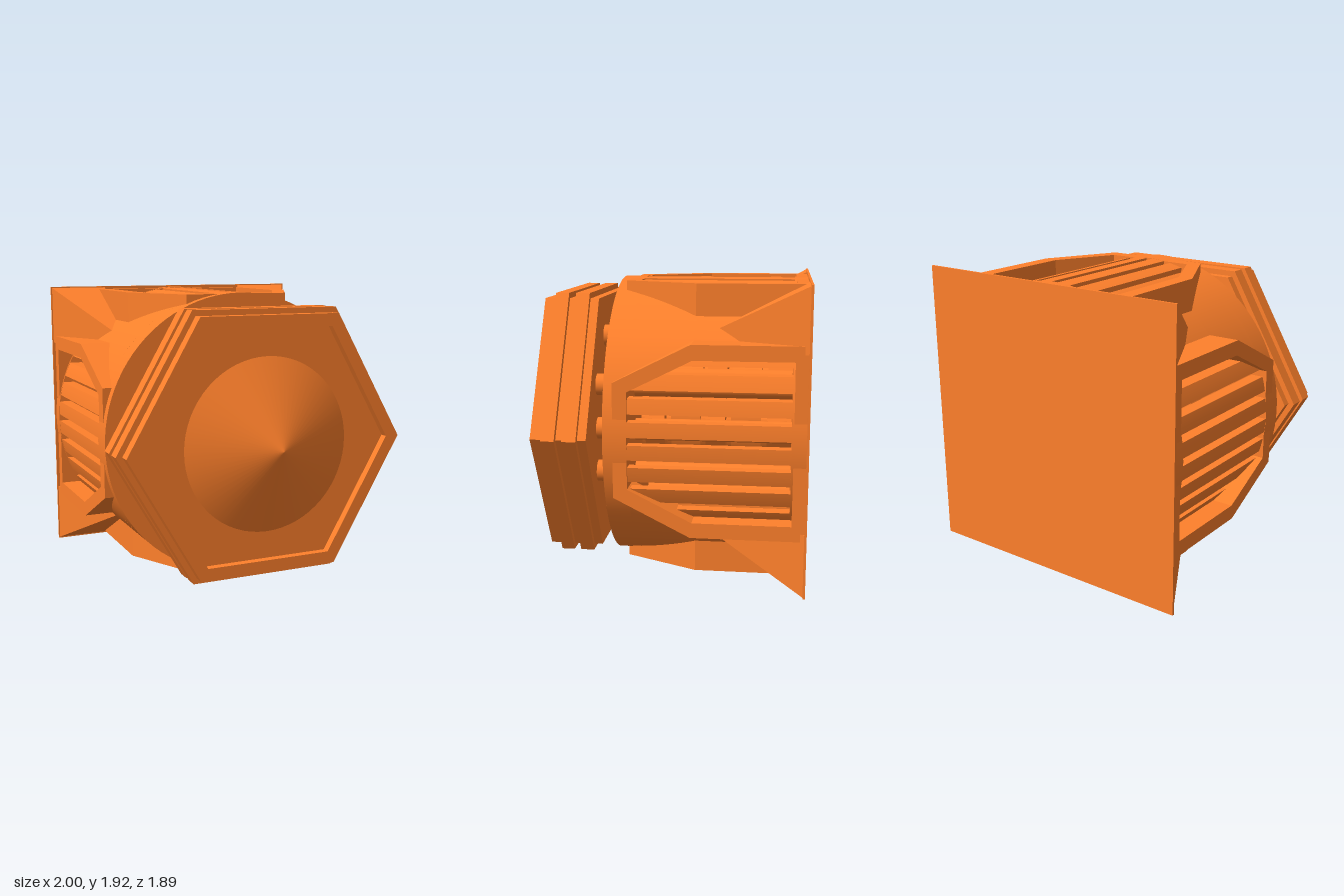
import * as THREE from 'three';
import { ConvexGeometry } from 'three/addons/geometries/ConvexGeometry.js';

const C = 0.963; // height of the main axis
const S = 0.96; // half side of the square back plate
const R = 0.95; // drum radius
const material = new THREE.MeshStandardMaterial({ color: 0xff802b, side: THREE.DoubleSide });

function add(parent, name, geometry) {
  const mesh = new THREE.Mesh(geometry, material);
  mesh.name = name;
  parent.add(mesh);
  return mesh;
}

// Cylinder or cone along z, from z0 to z1
function rod(r0, r1, z0, z1, sides) {
  return new THREE.CylinderGeometry(r1, r0, z1 - z0, sides)
    .rotateX(Math.PI / 2).translate(0, 0, (z0 + z1) / 2);
}

const points = (list) => list.map(([x, y]) => new THREE.Vector2(x, y));

function hexPoints(r) {
  return Array.from({ length: 6 }, (_, i) =>
    new THREE.Vector2(r * Math.cos(i * Math.PI / 3), r * Math.sin(i * Math.PI / 3)));
}

// Hexagonal prism along z, with an optional hexagonal hole
function hexPrism(r, z0, z1, hole) {
  const shape = new THREE.Shape(hexPoints(r));
  if (hole) shape.holes.push(new THREE.Path(hexPoints(hole)));
  return new THREE.ExtrudeGeometry(shape, { depth: z1 - z0, bevelEnabled: false }).translate(0, 0, z0);
}

// Drum wall between two vents; h is the half width of the vent opening at each end
function drumPatch(z0, h0, z1, h1) {
  const g = new THREE.PlaneGeometry(1, 1, 20, 8);
  const p = g.attributes.position;
  for (let i = 0; i < p.count; i++) {
    const u = p.getX(i) + 0.5, v = p.getY(i) + 0.5;
    const open = Math.asin((h0 + (h1 - h0) * v) / R);
    const a = open + (Math.PI / 2 - 2 * open) * u;
    p.setXYZ(i, R * Math.cos(a), R * Math.sin(a), z0 + (z1 - z0) * v);
  }
  g.computeVertexNormals();
  return g;
}

// Frame around a vent, facing +y; the drum bulges slightly through its middle
function frameGeometry() {
  const shape = new THREE.Shape(points([[-0.6, -0.935], [0.6, -0.935], [0.6, -0.23],
    [0.36, 0.248], [-0.36, 0.248], [-0.6, -0.23]]));
  shape.holes.push(new THREE.Path(points([[-0.505, -0.853], [-0.505, -0.24], [-0.305, 0.16],
    [0.305, 0.16], [0.505, -0.24], [0.505, -0.853]])));
  return new THREE.ExtrudeGeometry(shape, { depth: 0.22, bevelEnabled: false })
    .rotateX(Math.PI / 2).translate(0, 0.94, 0);
}

// Curved slat between x0 and x1, facing +y
function slatGeometry(x0, x1) {
  const outer = 0.948, inner = 0.87, shape = new THREE.Shape();
  shape.absarc(0, 0, outer, Math.acos(x1 / outer), Math.acos(x0 / outer), false);
  shape.absarc(0, 0, inner, Math.acos(x0 / inner), Math.acos(x1 / inner), true);
  return new THREE.ExtrudeGeometry(shape, { depth: 1.01, bevelEnabled: false, curveSegments: 5 })
    .translate(0, 0, -0.845);
}

export function createModel() {
  const model = new THREE.Group();
  model.name = 'thruster';
  const body = new THREE.Group();
  body.name = 'body';
  body.position.y = C;
  model.add(body);

  // Square back plate
  add(body, 'backPlate', new THREE.BoxGeometry(2 * S, 2 * S, 0.015).translate(0, 0, -0.9375));

  // Solid ends of the drum
  add(body, 'drumFront', rod(R, R, 0.16, 0.31, 96));
  add(body, 'drumBack', rod(R, R, -0.94, -0.84, 96));

  // Four sides: drum wall, corner wedge and slatted vent
  const frame = frameGeometry();
  const slot = 0.143, half = 0.024;
  const slats = [];
  for (let k = -4; k < 4; k++) {
    const x0 = k === -4 ? -0.555 : k * slot + half;
    const x1 = k === 3 ? 0.555 : (k + 1) * slot - half;
    slats.push(slatGeometry(x0, x1));
  }
  const wedge = new ConvexGeometry([
    [S, S, -0.945], [0.55, S, -0.945], [S, 0.55, -0.945], [0.55, 0.55, -0.945],
    [0.66, 0.66, -0.36], [0.55, 0.66, -0.36], [0.66, 0.55, -0.36],
  ].map((p) => new THREE.Vector3(...p)));
  const wallBack = drumPatch(-0.84, 0.55, -0.235, 0.55);
  const wallFront = drumPatch(-0.235, 0.55, 0.16, 0.355);

  for (let i = 0; i < 4; i++) {
    const side = new THREE.Group();
    side.name = 'side' + (i + 1);
    side.rotation.z = i * Math.PI / 2;
    add(side, 'drumWallBack', wallBack);
    add(side, 'drumWallFront', wallFront);
    add(side, 'cornerWedge', wedge);
    add(side, 'ventFrame', frame);
    slats.forEach((g) => add(side, 'ventSlat', g));
    body.add(side);
  }

  // Inner core with alternating hexagonal and round rings
  add(body, 'core', rod(0.34, 0.34, -0.85, 0.17, 32));
  for (let i = 0; i < 3; i++) {
    const z = -0.4 * i;
    add(body, 'hexRing', hexPrism(0.488, z - 0.01 - (i === 2 ? 0.03 : 0), z + 0.12));
    if (i < 2) add(body, 'roundRing', rod(0.39, 0.39, z - 0.24, z - 0.045, 32));
  }

  // Rods running through the drum to the front plate, on a grid without corners
  const tieRod = rod(0.07, 0.07, -0.85, 0.415, 20);
  for (let i = -2; i <= 2; i++) {
    for (let j = -2; j <= 2; j++) {
      if (Math.abs(i * j) === 4) continue;
      add(body, 'tieRod', tieRod).position.set(i * 0.286, j * 0.286, 0);
    }
  }

  // Hexagonal front plate with a recessed face, two ridges and a cone
  add(body, 'plateRim', hexPrism(0.958, 0.41, 0.762, 0.865));
  add(body, 'plateFace', hexPrism(0.88, 0.41, 0.71));
  add(body, 'plateRidge', hexPrism(1, 0.465, 0.555, 0.9));
  add(body, 'plateRidge', hexPrism(1, 0.6, 0.685, 0.9));
  add(body, 'noseCone', rod(0.57, 0, 0.71, 0.945, 64));

  return model;
}
